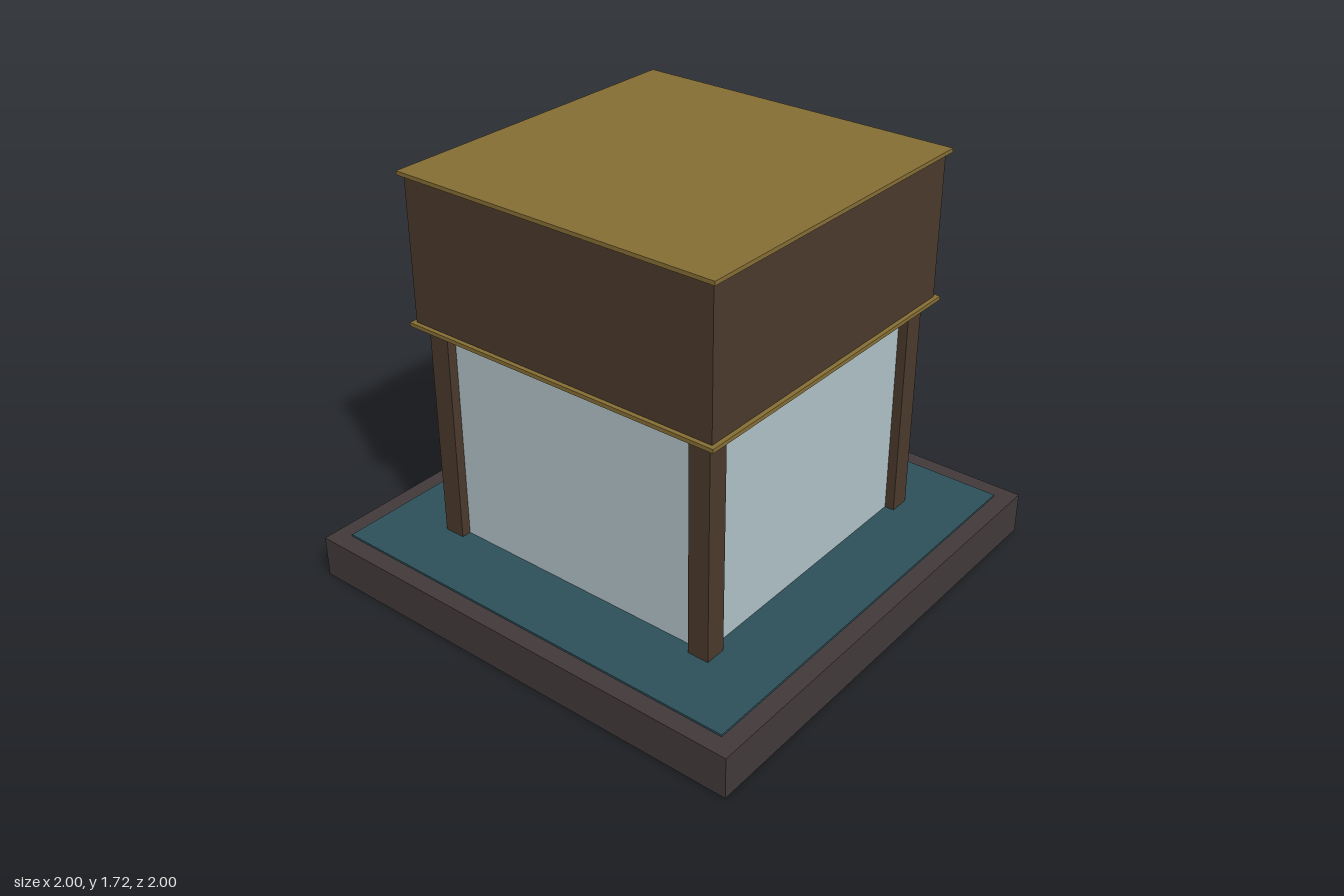
import * as THREE from 'three';

const material = (name, color) => {
  const m = new THREE.MeshStandardMaterial({ color });
  m.name = name;
  return m;
};

export function createModel() {
  const model = new THREE.Group();
  model.name = 'kiosk';
  const stone = material('dark stone', 0x433a3a);
  const teal = material('teal', 0x2d505a);
  const wood = material('dark wood', 0x4b3a2c);
  const brass = material('brass', 0x876f35);
  const glass = material('pale glass', 0xb3c5ca);

  // Square slab from y0 to y1, optionally off centre
  const slab = (name, mat, width, y0, y1, x = 0, z = 0) => {
    const mesh = new THREE.Mesh(new THREE.BoxGeometry(width, y1 - y0, width), mat);
    mesh.name = name;
    mesh.position.set(x, (y0 + y1) / 2, z);
    model.add(mesh);
  };

  // Base and floor
  slab('base', stone, 2, 0, 0.175);
  slab('floor', teal, 1.85, 0.17, 0.183);

  // Glazed body set between four corner posts
  slab('glassBody', glass, 1.24, 0.183, 1.1);
  for (const x of [-0.615, 0.615])
    for (const z of [-0.615, 0.615]) slab('cornerPost', wood, 0.09, 0.183, 1.1, x, z);

  // Upper box with a trim plate below and above
  slab('lowerTrim', brass, 1.42, 1.1, 1.116);
  slab('upperBox', wood, 1.384, 1.116, 1.702);
  slab('upperTrim', brass, 1.42, 1.702, 1.718);

  // Rows of small beads under the lower trim on each side
  const beadGeometry = new THREE.SphereGeometry(0.01, 10, 8);
  for (let side = 0; side < 4; side++) {
    const row = new THREE.Group();
    row.name = 'beadRow';
    row.rotation.y = side * Math.PI / 2;
    for (let i = 0; i < 8; i++) {
      const bead = new THREE.Mesh(beadGeometry, glass);
      bead.name = 'bead';
      bead.position.set((i - 3.5) * 0.154, 1.1, 0.625);
      row.add(bead);
    }
    model.add(row);
  }
  return model;
}
